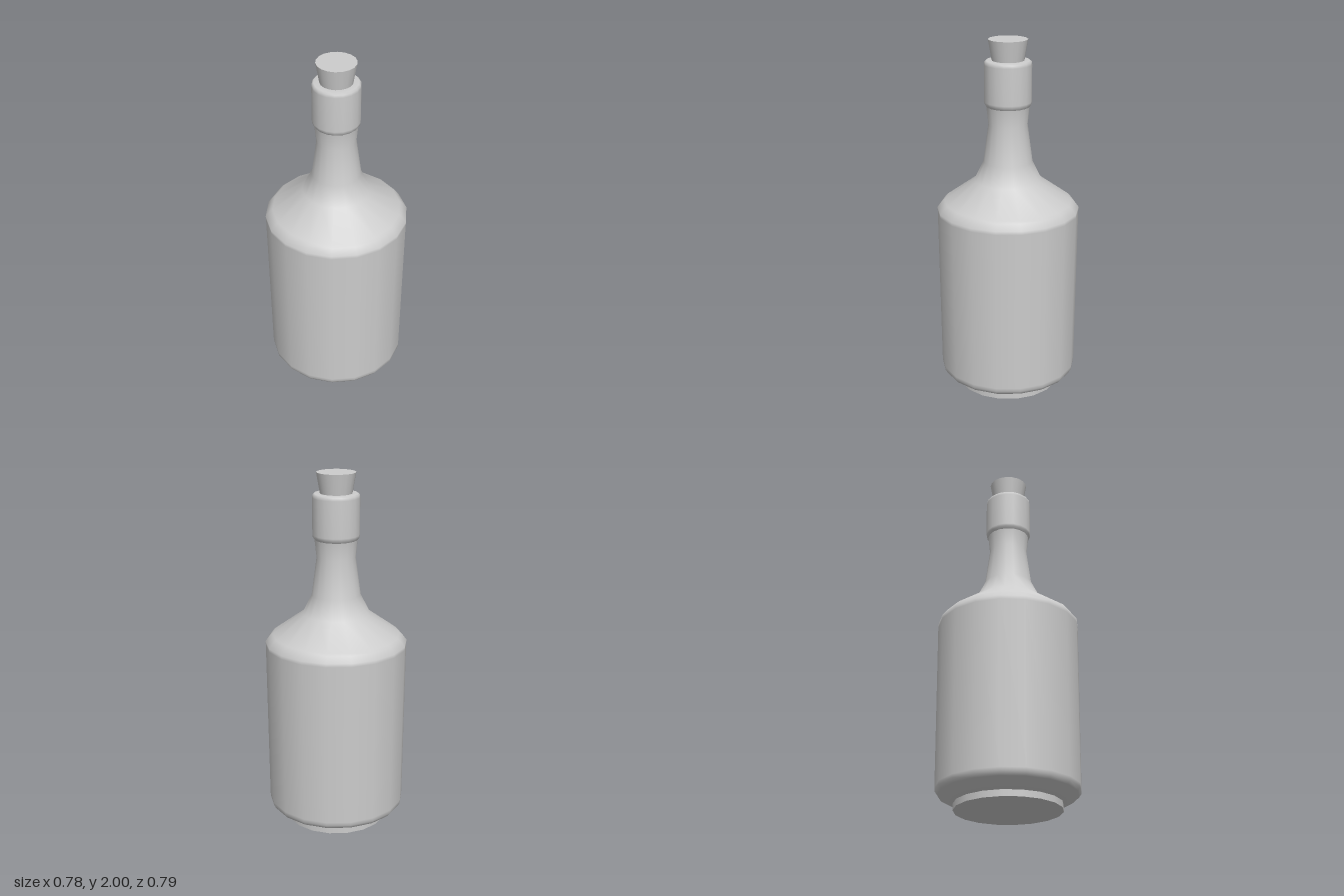
import * as THREE from 'three';

const SIDES = 18;

// Smooth lathe from [radius, height] pairs
function turned(name, profile, material) {
  const points = profile.map(([r, y]) => new THREE.Vector2(r, y));
  const mesh = new THREE.Mesh(new THREE.LatheGeometry(points, SIDES), material);
  mesh.name = name;
  return mesh;
}

// Flat round face, pointing up or down
function disc(name, radius, y, up, material) {
  const geometry = new THREE.CircleGeometry(radius, SIDES);
  geometry.rotateZ(Math.PI / 2);
  geometry.rotateX(up ? -Math.PI / 2 : Math.PI / 2);
  const mesh = new THREE.Mesh(geometry, material);
  mesh.position.y = y;
  mesh.name = name;
  return mesh;
}

export function createModel() {
  const grey = new THREE.MeshStandardMaterial({ color: 0xcccccc });
  grey.name = 'plain grey';

  const bottle = new THREE.Group();
  bottle.name = 'bottle';

  // Foot and its underside
  bottle.add(turned('foot', [[0.29, 0], [0.29, 0.035]], grey));
  bottle.add(disc('underside', 0.29, 0, false, grey));

  // Body: lower bevel, tall wall, rounded shoulder edge
  bottle.add(turned('body', [
    [0.29, 0.035], [0.373, 0.08], [0.386, 0.1], [0.387, 0.12],
    [0.394, 1.04], [0.395, 1.06], [0.37, 1.093], [0.355, 1.104],
    [0.187, 1.225], [0.135, 1.33], [0.107, 1.54], [0.118, 1.642],
  ], grey));

  // Thick collar around the mouth
  bottle.add(turned('collar', [
    [0.115, 1.635], [0.127, 1.65], [0.129, 1.665], [0.129, 1.865],
    [0.127, 1.88], [0.118, 1.888], [0.08, 1.888],
  ], grey));

  // Tapered stopper
  const stopper = new THREE.Group();
  stopper.name = 'stopper';
  stopper.add(turned('stopperSide', [[0.083, 1.86], [0.107, 2]], grey));
  stopper.add(disc('stopperTop', 0.107, 2, true, grey));
  bottle.add(stopper);

  return bottle;
}
